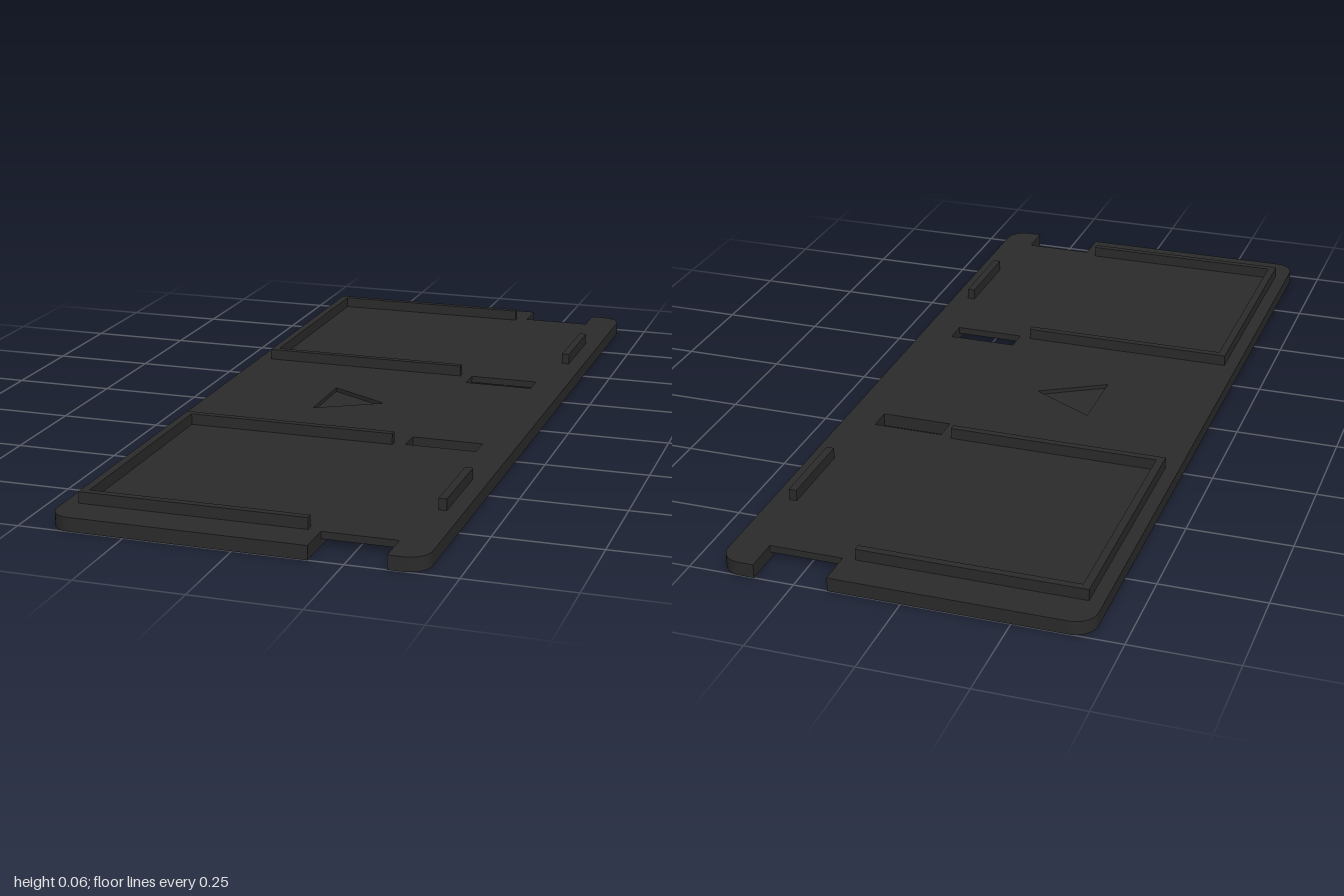
import * as THREE from 'three';

const HALF_W = 0.428, HALF_L = 1, RADIUS = 0.05;
const SLOT_X0 = 0.17, SLOT_X1 = 0.344;
const CHANNEL_TOP = 0.016, RECESS_FLOOR = 0.023, PLATE_TOP = 0.033, RIM_TOP = 0.06;

// Rounded plate outline with a notch cut in from each end as far as |z| = notchZ
function plateShape(notchZ) {
  const s = new THREE.Shape(), w = HALF_W, l = HALF_L, r = RADIUS;
  s.moveTo(-w + r, -l);
  s.lineTo(SLOT_X0, -l);
  s.lineTo(SLOT_X0, -notchZ);
  s.lineTo(SLOT_X1, -notchZ);
  s.lineTo(SLOT_X1, -l);
  s.lineTo(w - r, -l);
  s.absarc(w - r, -l + r, r, -Math.PI / 2, 0);
  s.lineTo(w, l - r);
  s.absarc(w - r, l - r, r, 0, Math.PI / 2);
  s.lineTo(SLOT_X1, l);
  s.lineTo(SLOT_X1, notchZ);
  s.lineTo(SLOT_X0, notchZ);
  s.lineTo(SLOT_X0, l);
  s.lineTo(-w + r, l);
  s.absarc(-w + r, l - r, r, Math.PI / 2, Math.PI);
  s.lineTo(-w, -l + r);
  s.absarc(-w + r, -l + r, r, Math.PI, Math.PI * 1.5);
  return s;
}

function polygonHole(points) {
  return new THREE.Path(points.map(([x, y]) => new THREE.Vector2(x, y)));
}

export function createModel() {
  const group = new THREE.Group();
  const charcoal = new THREE.MeshStandardMaterial({ color: 0x2b2b2b });
  charcoal.name = 'charcoal';

  const add = (name, geometry) => {
    const mesh = new THREE.Mesh(geometry, charcoal);
    mesh.name = name;
    group.add(mesh);
    return mesh;
  };

  // Flat layer between heights y0 and y1
  const addLayer = (name, shape, y0, y1) => {
    const g = new THREE.ExtrudeGeometry(shape, { depth: y1 - y0, bevelEnabled: false, curveSegments: 8 });
    g.rotateX(-Math.PI / 2);
    g.translate(0, y0, 0);
    add(name, g);
  };

  // Box standing on the plate
  const addBar = (name, x0, x1, z0, z1) => {
    const y0 = PLATE_TOP - 0.003;
    const g = new THREE.BoxGeometry(x1 - x0, RIM_TOP - y0, Math.abs(z1 - z0));
    add(name, g).position.set((x0 + x1) / 2, (y0 + RIM_TOP) / 2, (z0 + z1) / 2);
  };

  // Plate: underside with two channels, then upper layers with end notches and slots
  const slots = [-1, 1].map((s) => polygonHole([
    [SLOT_X0, s * 0.24], [SLOT_X1, s * 0.24], [SLOT_X1, s * 0.3], [SLOT_X0, s * 0.3],
  ]));
  addLayer('plateUnderside', plateShape(0.24), 0, CHANNEL_TOP);

  const middle = plateShape(0.913);
  middle.holes.push(...slots);
  addLayer('plateMiddle', middle, CHANNEL_TOP, RECESS_FLOOR);

  // Top layer also has the sunken triangle pointing to +x
  const top = plateShape(0.913);
  top.holes.push(...slots, polygonHole([[0.02, 0], [-0.138, 0.091], [-0.138, -0.091]]));
  addLayer('plateTop', top, RECESS_FLOOR, PLATE_TOP);

  // Three-sided rims and a retaining tab at each end
  for (const s of [-1, 1]) {
    const end = s > 0 ? 'Front' : 'Back';
    addBar('rimInner' + end, -0.395, 0.14, s * 0.293, s * 0.311);
    addBar('rimOuter' + end, -0.395, 0.14, s * 0.893, s * 0.911);
    addBar('rimSide' + end, -0.395, -0.376, s * 0.311, s * 0.893);
    addBar('tab' + end, 0.37, 0.389, s * 0.492, s * 0.71);
  }
  return group;
}
